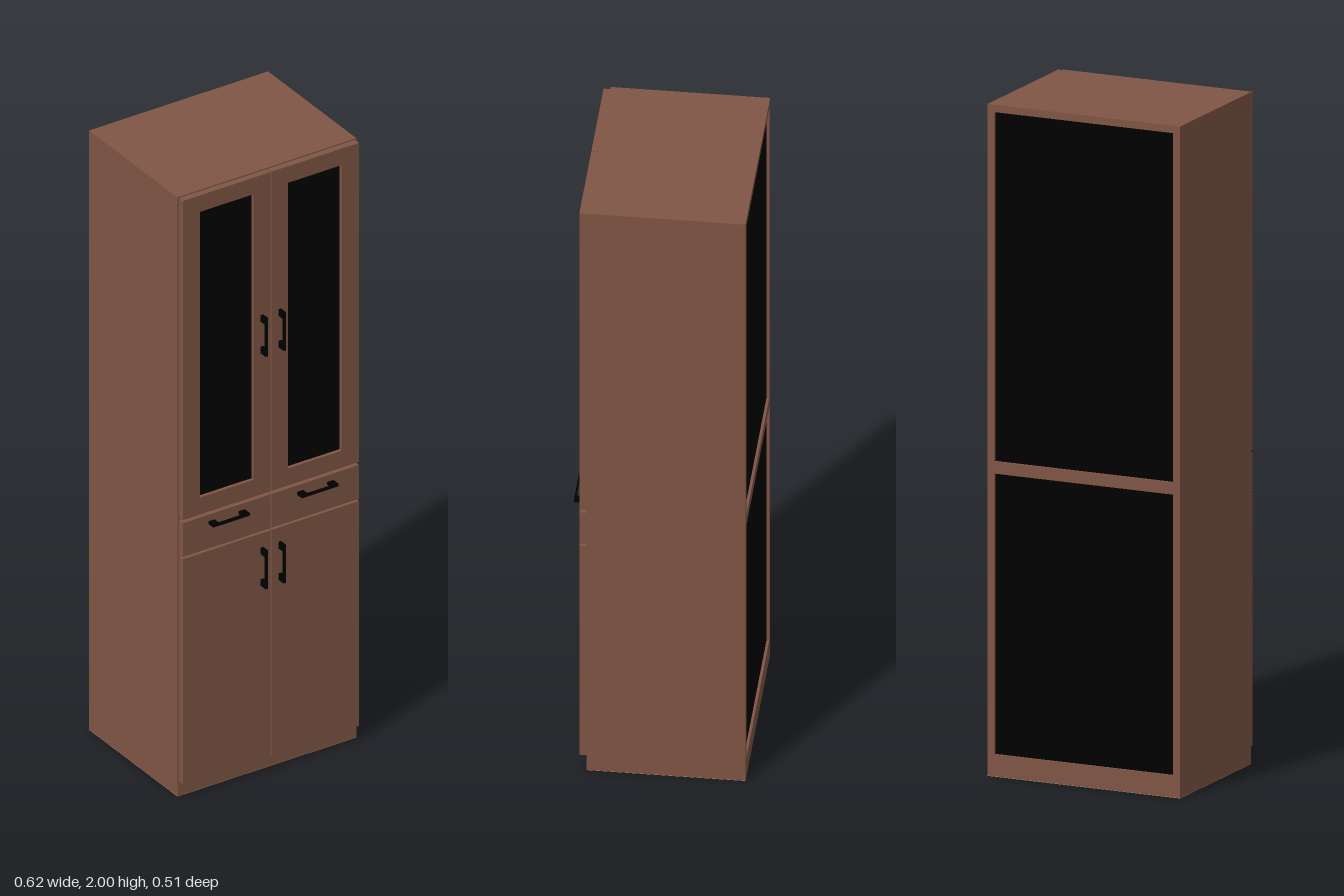
import * as THREE from 'three';

export function createModel() {
  const wood = new THREE.MeshStandardMaterial({ name: 'brown wood', color: 0x805545 });
  const paleWood = new THREE.MeshStandardMaterial({ name: 'pale wood', color: 0xbf926e });
  const black = new THREE.MeshStandardMaterial({ name: 'black', color: 0x000000 });
  const cabinet = new THREE.Group();
  cabinet.name = 'cabinet';

  // Box given by its two opposite corners
  function box(name, mat, [x0, y0, z0], [x1, y1, z1]) {
    const mesh = new THREE.Mesh(new THREE.BoxGeometry(x1 - x0, y1 - y0, z1 - z0), mat);
    mesh.position.set((x0 + x1) / 2, (y0 + y1) / 2, (z0 + z1) / 2);
    mesh.name = name;
    cabinet.add(mesh);
  }

  const W = 0.31, T = 0.022, BACK = -0.255, FRONT = 0.208, FACE = 0.229;
  const inner = W - T, BASE = 0.001;

  // Carcass boards
  box('leftSide', wood, [inner, BASE, BACK], [W, 2, FRONT]);
  box('rightSide', wood, [-W, BASE, BACK], [-inner, 2, FRONT]);
  box('topBoard', wood, [-inner, 1.978, BACK], [inner, 2, FRONT]);
  box('middleBoard', wood, [-inner, 0.902, BACK], [inner, 0.938, FRONT]);
  box('drawerRail', wood, [-inner, 0.794, BACK + 0.02], [inner, 0.814, FRONT]);
  box('plinth', wood, [-inner, BASE, BACK], [inner, 0.066, FRONT]);

  // Unpainted underside
  box('underside', paleWood, [-W, 0, BACK], [W, BASE, FRONT]);

  // Centre stiles closing the gaps between the paired fronts
  for (const [name, y0, y1] of [['upperStile', 0.938, 1.978], ['drawerStile', 0.814, 0.902], ['lowerStile', 0.066, 0.794]])
    box(name, wood, [-0.01, y0, FRONT - 0.02], [0.01, y1, FRONT - 0.001]);

  // Back panels, set slightly into the carcass
  box('upperBackPanel', black, [-inner, 0.938, BACK + 0.008], [inner, 1.978, BACK + 0.014]);
  box('lowerBackPanel', black, [-inner, 0.066, BACK + 0.008], [inner, 0.902, BACK + 0.014]);

  // Rectangle helper for shapes and holes
  function rect(path, x0, y0, x1, y1) {
    path.moveTo(x0, y0);
    path.lineTo(x1, y0);
    path.lineTo(x1, y1);
    path.lineTo(x0, y1);
    path.closePath();
    return path;
  }

  // Bracket pull: flat profile along x with a rounded finger opening
  const L = 0.0635, D = 0.026, H = 0.009;
  const profile = new THREE.Shape();
  profile.moveTo(-L, 0);
  profile.lineTo(-L, D);
  profile.lineTo(L, D);
  profile.lineTo(L, 0);
  profile.lineTo(L - 0.022, 0);
  profile.lineTo(L - 0.022, D - 0.008);
  profile.quadraticCurveTo(L - 0.022, D - 0.005, L - 0.025, D - 0.005);
  profile.lineTo(-L + 0.025, D - 0.005);
  profile.quadraticCurveTo(-L + 0.022, D - 0.005, -L + 0.022, D - 0.008);
  profile.lineTo(-L + 0.022, 0);
  profile.closePath();
  const pull = new THREE.ExtrudeGeometry(profile, { depth: H, bevelEnabled: false, curveSegments: 4 });
  pull.translate(0, 0, -H / 2);
  pull.rotateX(Math.PI / 2);

  function handle(name, x, y, upright) {
    const mesh = new THREE.Mesh(pull, black);
    mesh.name = name;
    mesh.position.set(x, y, FACE);
    if (upright) mesh.rotation.z = Math.PI / 2;
    cabinet.add(mesh);
  }

  // Mirrored fronts
  for (const [side, s] of [['left', 1], ['right', -1]]) {
    const a = Math.min(s * 0.002, s * 0.305), b = Math.max(s * 0.002, s * 0.305);
    const g0 = Math.min(s * 0.06, s * 0.245), g1 = Math.max(s * 0.06, s * 0.245);

    // Upper door frame with an inset dark pane
    const frame = rect(new THREE.Shape(), a, 0.931, b, 1.996);
    frame.holes.push(rect(new THREE.Path(), g0, 0.988, g1, 1.941));
    const geo = new THREE.ExtrudeGeometry(frame, { depth: FACE - FRONT, bevelEnabled: false });
    const door = new THREE.Mesh(geo, wood);
    door.position.z = FRONT;
    door.name = side + 'UpperDoorFrame';
    cabinet.add(door);
    box(side + 'DoorPane', black, [g0, 0.988, FRONT + 0.004], [g1, 1.941, FRONT + 0.01]);

    box(side + 'Drawer', wood, [a, 0.808, FRONT], [b, 0.921, FACE]);
    box(side + 'LowerDoor', wood, [a, 0.05, FRONT], [b, 0.801, FACE]);

    handle(side + 'UpperDoorHandle', s * 0.031, 1.466, true);
    handle(side + 'DrawerHandle', s * 0.1535, 0.895, false);
    handle(side + 'LowerDoorHandle', s * 0.031, 0.69, true);
  }
  return cabinet;
}
